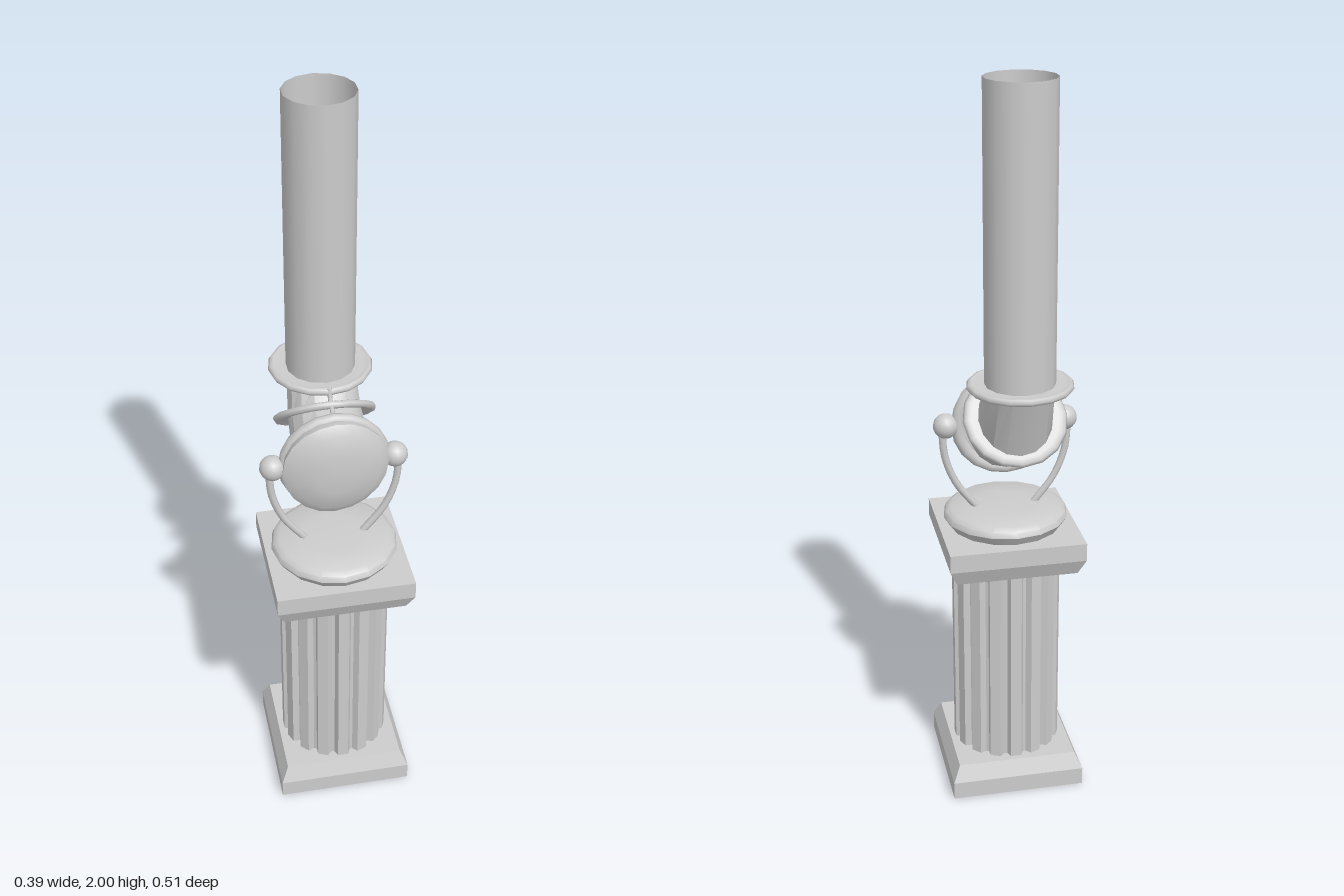
import * as THREE from 'three';
import { toCreasedNormals } from 'three/addons/utils/BufferGeometryUtils.js';

const stone = new THREE.MeshStandardMaterial({ color: 0xcccccc, side: THREE.DoubleSide });
stone.name = 'light grey';

const AXIS_Z = 0.07;   // pedestal and fork axis
const PIPE_Z = -0.118; // upright pipe axis
const HEAD_Y = 1.06;   // pivot height

export function createModel() {
  const model = new THREE.Group();
  model.name = 'pedestalScope';

  const add = (name, geometry, x = 0, y = 0, z = 0) => {
    const mesh = new THREE.Mesh(geometry, stone);
    mesh.name = name;
    mesh.position.set(x, y, z);
    model.add(mesh);
    return mesh;
  };
  const lathe = (points, sides = 16) =>
    new THREE.LatheGeometry(points.map(p => new THREE.Vector2(...p)), sides);

  // Square slabs with one bevelled side
  const slab = profile => {
    const g = lathe(profile.map(([r, y]) => [r * Math.SQRT2, y]), 4);
    return toCreasedNormals(g.rotateY(Math.PI / 4), 0.2);
  };
  add('plinth', slab([[0, 0], [0.185, 0], [0.185, 0.05], [0.165, 0.095], [0, 0.095]]), 0, 0, AXIS_Z);
  add('capital', slab([[0, 0.67], [0.165, 0.67], [0.185, 0.715], [0.185, 0.765], [0, 0.765]]), 0, 0, AXIS_Z);

  // Fluted shaft
  const flutes = 16, outline = [];
  for (let i = 0; i < flutes; i++) {
    for (const [t, r] of [[-0.25, 0.15], [0.25, 0.15], [0.42, 0.134], [0.58, 0.134]]) {
      const a = (i + t) / flutes * Math.PI * 2;
      outline.push(new THREE.Vector2(Math.cos(a) * r, Math.sin(a) * r));
    }
  }
  const shaft = new THREE.ExtrudeGeometry(new THREE.Shape(outline), { depth: 0.59, bevelEnabled: false });
  add('flutedShaft', shaft.rotateX(-Math.PI / 2), 0, 0.085, AXIS_Z);

  // Turntable
  add('turntable', toCreasedNormals(lathe([[0, 0.762], [0.155, 0.765], [0.171, 0.79],
    [0.166, 0.805], [0.15, 0.815], [0.08, 0.82], [0, 0.822]]), 0.7), 0, 0, AXIS_Z + 0.004);

  // Fork arms and pivot balls
  for (const s of [1, -1]) {
    const side = s > 0 ? 'left' : 'right';
    const path = new THREE.CatmullRomCurve3([[0.172, 1.05], [0.165, 0.97], [0.135, 0.89], [0.075, 0.81]]
      .map(([x, y]) => new THREE.Vector3(s * x, y, AXIS_Z + 0.003)));
    add(side + 'ForkArm', new THREE.TubeGeometry(path, 10, 0.01, 8));
    add(side + 'PivotBall', new THREE.SphereGeometry(0.034, 16, 12), s * 0.162, HEAD_Y, AXIS_Z);
  }

  // Bulging lens with an off-centre ridge, and its rim
  const lens = lathe([[0, 0.06], [0.125, 0.06], [0.138, 0.085], [0.14, 0.107],
    [0.115, 0.124], [0.06, 0.133], [0, 0.137]], 20).rotateX(Math.PI / 2);
  const p = lens.attributes.position;
  for (let i = 0; i < p.count; i++) {
    if (p.getZ(i) > 0.1) p.setZ(i, p.getZ(i) - 0.06 * Math.abs(p.getX(i) + 0.04));
  }
  lens.computeVertexNormals();
  add('lens', toCreasedNormals(lens, 0.6), 0, HEAD_Y, 0);
  add('lensRim', new THREE.TorusGeometry(0.13, 0.018, 10, 20), 0, HEAD_Y, AXIS_Z);

  // Bent pipe lofted through three tilted ellipses: [y, z, tilt, half width, half height]
  const sections = [[1.06, 0.06, 0, 0.105, 0.13], [1.12, -0.06, Math.PI / 4, 0.098, 0.109],
    [1.235, PIPE_Z, Math.PI / 2, 0.09, 0.09]];
  const n = 16, verts = [], faces = [];
  sections.forEach(([y, z, tilt, rx, ry], k) => {
    for (let i = 0; i < n; i++) {
      const a = i / n * Math.PI * 2, v = Math.sin(a) * ry;
      verts.push(Math.cos(a) * rx, y + v * Math.cos(tilt), z + v * Math.sin(tilt));
      if (k) {
        const j = (i + 1) % n, lo = (k - 1) * n, hi = k * n;
        faces.push(lo + i, lo + j, hi + i, lo + j, hi + j, hi + i);
      }
    }
  });
  // Reverse the corners so the faces point outward
  faces.reverse();
  const elbow = new THREE.BufferGeometry();
  elbow.setAttribute('position', new THREE.Float32BufferAttribute(verts, 3));
  elbow.setIndex(faces);
  elbow.computeVertexNormals();
  add('elbow', toCreasedNormals(elbow, 0.4));

  // Open upright pipe
  add('uprightPipe', new THREE.CylinderGeometry(0.091, 0.091, 0.765, 14, 1, true), 0, 1.6175, PIPE_Z);

  // Flanges with rounded rims
  const flange = () => lathe([[0, -0.004], [0.116, -0.004], [0.124, -0.01], [0.133, -0.008], [0.138, 0],
    [0.133, 0.008], [0.124, 0.01], [0.116, 0.004], [0, 0.004]]);
  add('upperFlange', flange(), 0, 1.235, PIPE_Z - 0.002);
  add('elbowFlange', flange(), 0, 1.12, -0.06).rotation.x = -Math.PI / 4;

  // Small linkage between flanges and rim
  const link = new THREE.CatmullRomCurve3([[1.245, 0.008], [1.215, 0.022], [1.2, 0.055]]
    .map(([y, z]) => new THREE.Vector3(0, y, z)));
  add('linkRod', new THREE.TubeGeometry(link, 6, 0.006, 6));

  return model;
}
